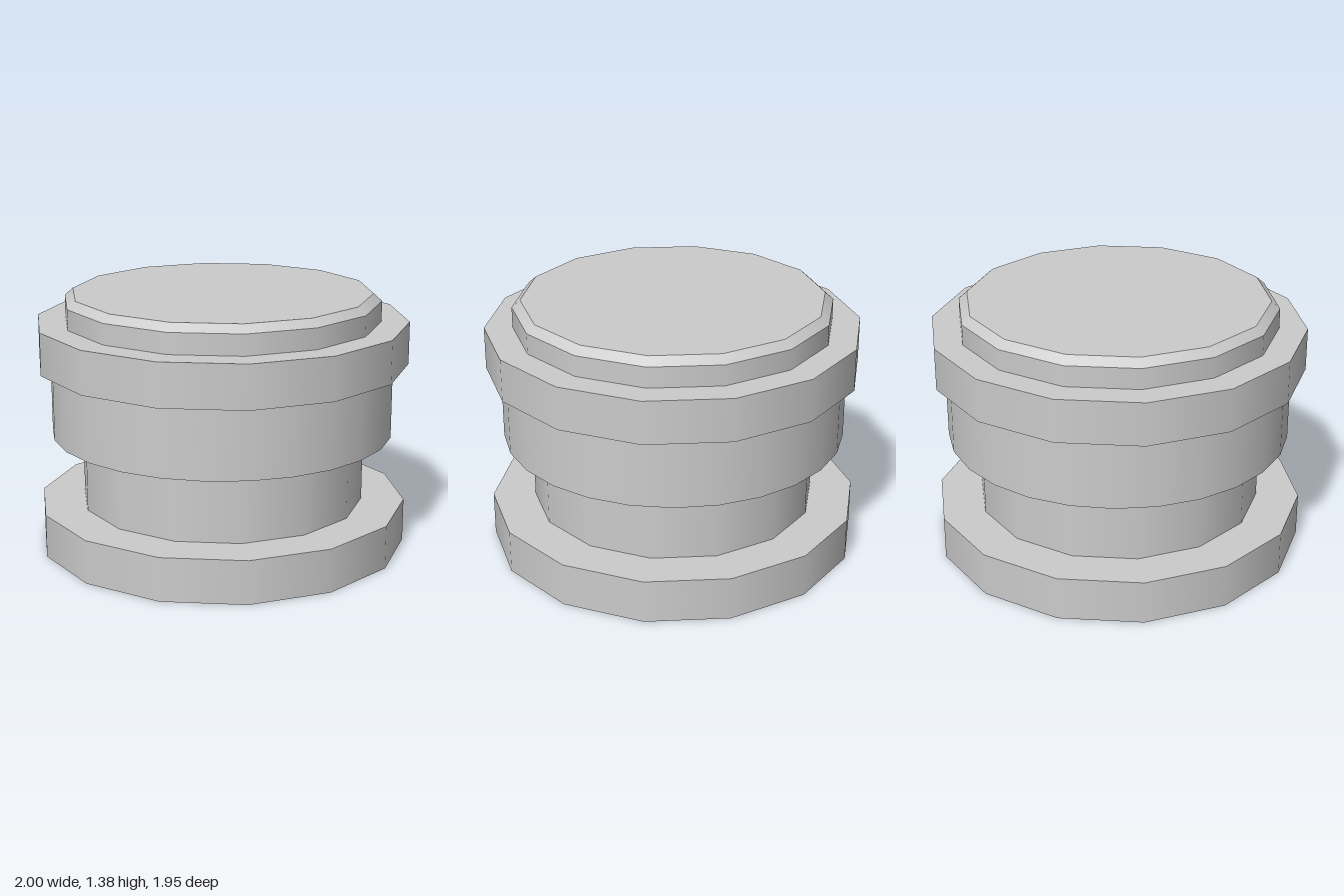
import * as THREE from 'three';

const material = new THREE.MeshStandardMaterial({ color: 0xcccccc });

export function createModel() {
  const model = new THREE.Group();
  model.name = 'stackedDrum';

  // A smooth-sided disc between two heights; turn sets the first corner's direction
  function addDisc(name, y0, y1, bottomRadius, topRadius, sides, turn) {
    const geometry = new THREE.CylinderGeometry(topRadius, bottomRadius, y1 - y0, sides);
    geometry.rotateY(turn);
    const mesh = new THREE.Mesh(geometry, material);
    mesh.name = name;
    mesh.position.y = (y0 + y1) / 2;
    model.add(mesh);
  }

  const cornerToX = Math.PI / 2;
  addDisc('baseFlange', 0, 0.235, 1, 1, 14, cornerToX);
  addDisc('neck', 0.235, 0.62, 0.768, 0.768, 14, cornerToX);
  addDisc('body', 0.62, 1.0, 0.922, 0.922, 26, 0); // rounder than the rest
  addDisc('upperFlange', 1.0, 1.23, 1, 1, 14, cornerToX);
  addDisc('cap', 1.23, 1.34, 0.85, 0.85, 14, cornerToX);
  addDisc('capChamfer', 1.34, 1.38, 0.85, 0.805, 14, cornerToX);

  return model;
}
